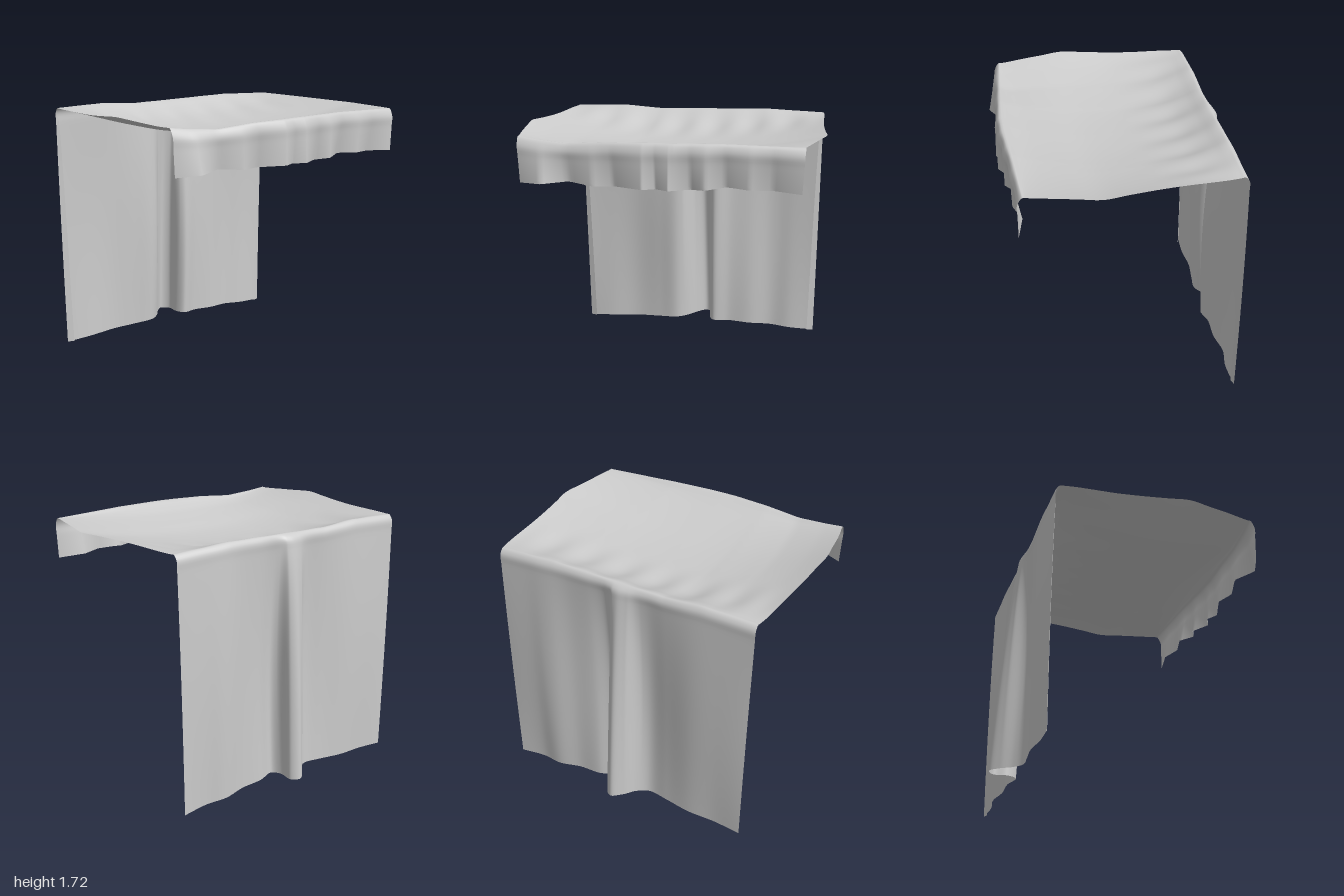
import * as THREE from 'three';

const cloth = new THREE.MeshStandardMaterial({ color: 0xcccccc, side: THREE.DoubleSide });

// Smooth grid surface from a rule f(i, j) -> Vector3
function sheet(name, nu, nv, f) {
  const pos = [], idx = [];
  for (let j = 0; j <= nv; j++) for (let i = 0; i <= nu; i++) {
    pos.push(...f(i, j).toArray());
    if (i < nu && j < nv) {
      const a = j * (nu + 1) + i, b = a + nu + 1;
      idx.push(a, a + 1, b, a + 1, b + 1, b);
    }
  }
  const g = new THREE.BufferGeometry();
  g.setAttribute('position', new THREE.Float32BufferAttribute(pos, 3));
  g.setIndex(idx);
  g.computeVertexNormals();
  const mesh = new THREE.Mesh(g, cloth);
  mesh.name = name;
  return mesh;
}

// Piecewise linear lookup in [x, value] pairs
function lookup(table, x) {
  let k = 1;
  while (k < table.length - 1 && x > table[k][0]) k++;
  const [x0, a] = table[k - 1], [x1, b] = table[k];
  return THREE.MathUtils.lerp(a, b, THREE.MathUtils.clamp((x - x0) / (x1 - x0), 0, 1));
}

// Across the cloth: x along the rims, then x and z at the curtain's bottom edge
const across = new THREE.CatmullRomCurve3([
  [-0.93, -0.89, -0.665], [-0.72, -0.70, -0.655], [-0.5, -0.5, -0.665], [-0.32, -0.32, -0.645],
  [-0.2, -0.18, -0.635], [-0.12, -0.1, -0.685], [-0.06, -0.04, -0.76], [0, 0.03, -0.815],
  [0.04, 0.082, -0.775], [0.08, 0.075, -0.68], [0.13, 0.11, -0.615], [0.25, 0.23, -0.645],
  [0.4, 0.39, -0.645], [0.56, 0.55, -0.675], [0.72, 0.7, -0.655], [0.91, 0.885, -0.67],
].map(p => new THREE.Vector3(...p)));

// Scalloped lower edge of the valance: z and y along x
const scallopZ = [[-0.93, 0.75], [-0.77, 0.815], [-0.6, 0.74], [-0.43, 0.79], [-0.3, 0.745], [-0.1, 0.815],
  [-0.02, 0.77], [0.07, 0.815], [0.2, 0.74], [0.3, 0.79], [0.42, 0.72], [0.58, 0.76], [0.72, 0.71], [0.91, 0.75]];
const scallopY = [[-0.93, 1.405], [-0.6, 1.425], [-0.4, 1.408], [0.2, 1.408], [0.45, 1.43], [0.91, 1.41]];
// Rim lines: front height and z, back height
const frontRim = [[-0.93, 1.7], [-0.8, 1.685], [-0.6, 1.67], [-0.35, 1.69], [0, 1.7], [0.4, 1.705], [0.91, 1.695]];
const frontRimZ = [[-0.93, 0.735], [-0.5, 0.765], [-0.1, 0.79], [0.1, 0.785], [0.5, 0.755], [0.91, 0.735]];
const backRim = [[-0.93, 1.7], [-0.57, 1.712], [-0.3, 1.695], [0.5, 1.715], [0.91, 1.7]];
// Roof rows, front to back: z, sag, half width
const roofRows = [[0.7, 0.028, 0.92], [0.63, 0.055, 0.935], [0.54, 0.075, 0.952], [0.4, 0.1, 0.975], [0.25, 0.125, 1],
  [0.1, 0.134, 0.983], [-0.08, 0.132, 0.965], [-0.25, 0.118, 0.95], [-0.4, 0.09, 0.942], [-0.52, 0.045, 0.935],
  [-0.6, 0.005, 0.925]];

// One strip of cloth from the valance's bottom, over the roof, to the curtain's bottom
function strip(u) {
  const k = across.getPoint(u), x = k.x, s = (x + 0.01) / 0.92, pts = [];
  const add = (px, y, z) => pts.push(new THREE.Vector3(px, y, z));
  const fz = lookup(scallopZ, x), fy = lookup(scallopY, x);
  const ry = lookup(frontRim, x), rz = lookup(frontRimZ, x), by = lookup(backRim, x);
  // Valance, slightly fuller just under the rim
  for (const t of [0, 0.3, 0.6, 0.85]) {
    add(x * (0.985 + 0.015 * t), fy + (ry - 0.012 - fy) * t, fz + (rz + 0.015 - fz) * t);
  }
  add(x, ry, rz - 0.015);
  for (const [z, sag, w] of roofRows) {
    const f = (0.7 - z) / 1.3;
    const lift = Math.max(0, 1 - Math.abs(z - 0.25) / 0.4) * (s < 0 ? 0.025 : -0.006) * s * s;
    const fold = 0.009 * Math.sin(x * 24 + 1) * Math.max(0, 1 - Math.abs(z + 0.38) / 0.3) * (1 - s ** 6);
    const shift = -0.01 * Math.min(1, Math.abs(z - 0.25) / 0.3);
    add(s * w + shift, ry + (by - ry) * f - sag * (1 - Math.abs(s) ** 2.3) + lift + fold, z);
  }
  add(x, by, -0.63);
  // Curtain, with the pleat opening towards the bottom
  const bottom = 0.052 - 0.05 * Math.abs(k.y) / 0.89;
  const belly = (0.01 + 0.03 * Math.cos(s * 4.2)) * (1 - Math.min(1, Math.max(0, -k.z - 0.67) * 12));
  for (const t of [0.02, 0.06, 0.14, 0.26, 0.42, 0.6, 0.8, 1]) {
    add(x + (k.y - x) * t, by + (bottom - by) * t,
      -0.655 + (k.z + 0.655) * t ** 0.6 + belly * Math.sin(Math.PI * t));
  }
  return new THREE.CatmullRomCurve3(pts);
}

export function createModel() {
  const group = new THREE.Group();
  group.name = 'drapedCanopy';

  // Valance, sagging roof and pleated back curtain in one cloth
  const nu = 120, nv = 96;
  const strips = Array.from({ length: nu + 1 }, (_, i) => strip(i / nu));
  group.add(sheet('drapedCloth', nu, nv, (i, j) => strips[i].getPoint(j / nv)));

  // Hems folded inward along the curtain's side edges
  for (const side of [-1, 1]) {
    const edge = strips[side < 0 ? 0 : nu];
    group.add(sheet(side < 0 ? 'rightHem' : 'leftHem', 1, 24, (i, j) => {
      const t = j / 24, p = edge.getPoint(0.7 + 0.3 * t);
      if (i) p.add(new THREE.Vector3(-side * 0.046 * t ** 0.5, 0, 0.014 * t ** 0.5));
      return p;
    }));
  }
  return group;
}
